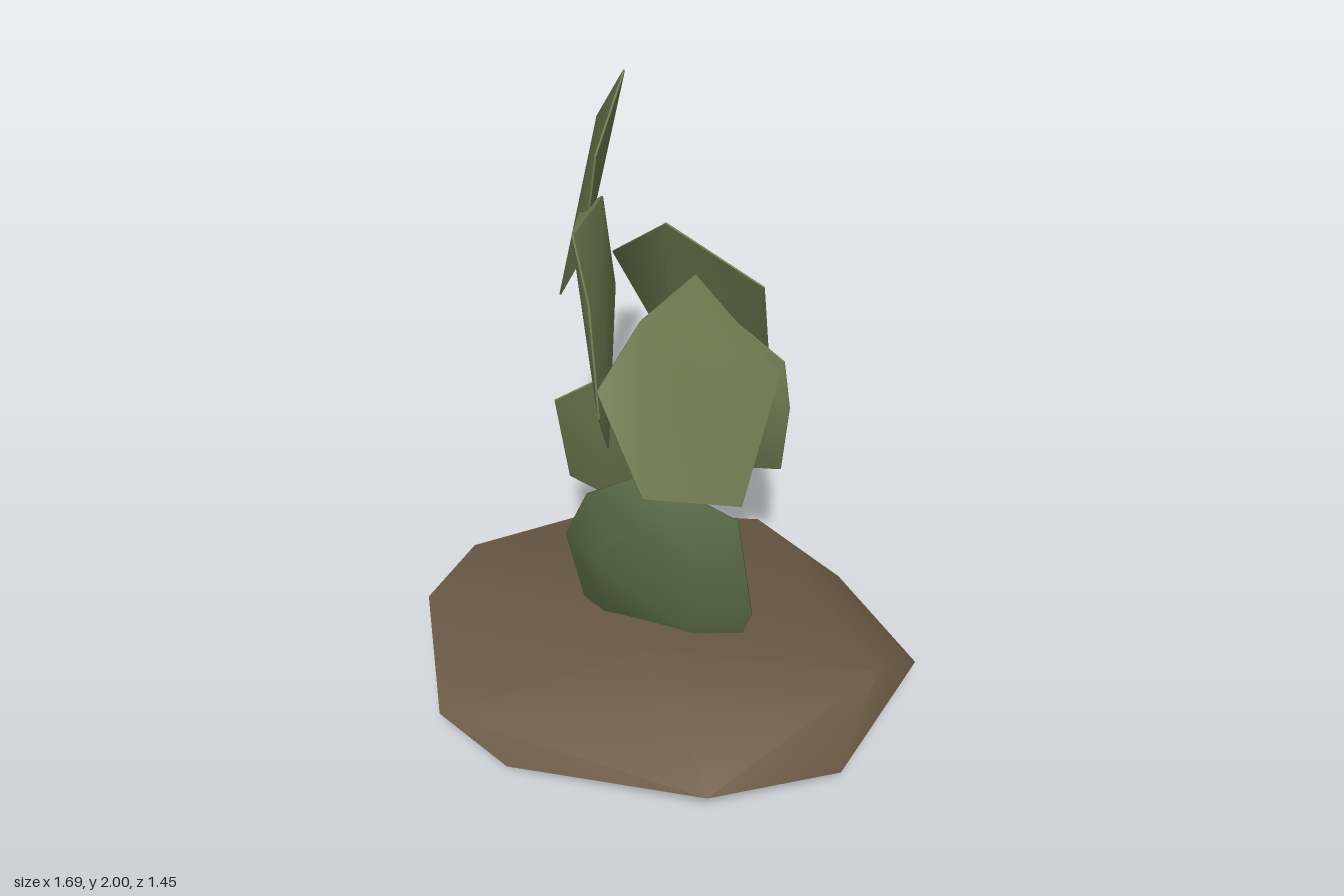
import * as THREE from 'three';
import { ConvexGeometry } from 'three/addons/geometries/ConvexGeometry.js';
import { toCreasedNormals } from 'three/addons/utils/BufferGeometryUtils.js';

const vec = (p) => new THREE.Vector3(...p);

// Lens-like pad: thin along its outline, thicker inside
function padGeometry(outline, thickness) {
  const pts = outline.map(vec);
  const centre = new THREE.Vector3();
  pts.forEach((p) => centre.addScaledVector(p, 1 / pts.length));
  const normal = new THREE.Vector3();
  pts.forEach((p, i) => {
    const a = p.clone().sub(centre);
    const b = pts[(i + 1) % pts.length].clone().sub(centre);
    normal.add(a.cross(b));
  });
  normal.normalize();
  const corners = [];
  for (const p of pts) {
    const inner = p.clone().lerp(centre, 0.45);
    for (const side of [-0.5, 0.5]) {
      corners.push(p.clone().addScaledVector(normal, side * 0.006));
      corners.push(inner.clone().addScaledVector(normal, side * thickness));
    }
  }
  return toCreasedNormals(new ConvexGeometry(corners), 0.7);
}

export function createModel() {
  const group = new THREE.Group();
  const material = (name, color) => {
    const m = new THREE.MeshStandardMaterial({ color });
    m.name = name;
    return m;
  };
  const soil = material('brown soil', 0x6a5844);
  const olive = material('olive green', 0x6f7a50);
  const deepGreen = material('deep green', 0x52633f);

  const add = (name, geometry, mat) => {
    const mesh = new THREE.Mesh(geometry, mat);
    mesh.name = name;
    group.add(mesh);
  };

  // Faceted mound of soil: crown, rim and underside
  const mound = [
    [0.08, 0.365, 0.31], [0.77, 0.27, 0], [-0.45, 0.25, -0.2],
    [0.45, 0.2, 0.7], [0.77, 0.1, 0.33], [0.84, 0.15, -0.22],
    [0.43, 0.12, -0.57], [0.08, 0.23, -0.63], [-0.52, 0.18, -0.48], [-0.84, 0.13, -0.13],
    [-0.84, 0.19, -0.1], [-0.85, 0.19, 0.22], [-0.84, 0.14, 0.2], [-0.57, 0.1, 0.64],
    [-0.27, 0.05, 0.72], [0.64, 0, 0.08], [-0.22, 0.03, -0.57],
  ];
  add('soilMound', toCreasedNormals(new ConvexGeometry(mound.map(vec)), 0.6), soil);

  // Thick pad rising out of the soil
  add('basePad', padGeometry([
    [-0.27, 0.2, 0.08], [-0.35, 0.56, 0.09], [-0.27, 0.75, 0.08], [-0.05, 0.9, 0.07],
    [0.27, 0.79, 0.05], [0.33, 0.4, 0.05], [0.26, 0.2, 0.06],
  ], 0.2), deepGreen);

  // Upper pads: outline corners and thickness
  const pads = {
    frontLeftPad: [[
      [0, 1.525, -0.2], [-0.08, 1.47, 0.04], [-0.165, 1.27, 0.19],
      [0.02, 0.95, 0.255], [0.26, 0.81, 0], [0.265, 1.16, -0.3],
    ], 0.04],
    middlePad: [[
      [-0.32, 1.71, 0.02], [-0.36, 1.69, -0.27], [-0.48, 1.575, -0.35],
      [-0.41, 1.24, -0.45], [-0.4, 1.05, -0.35], [-0.25, 0.86, -0.05],
      [-0.2, 1.1, 0.11], [-0.245, 1.5, 0.07],
    ], 0.05],
    topPad: [[
      [-0.41, 2, -0.55], [-0.6, 1.715, -0.725], [-0.62, 1.36, -0.66],
      [-0.56, 1.23, -0.33], [-0.385, 1.52, -0.18], [-0.35, 1.865, -0.21],
    ], 0.02],
    backPad: [[
      [-0.18, 1.58, -0.37], [-0.47, 1.3, -0.56], [-0.38, 0.97, -0.71],
      [-0.3, 0.88, -0.66], [0.08, 0.97, -0.67], [0.135, 1.36, -0.465],
    ], 0.05],
    lowerRightPad: [[
      [-0.42, 1.04, 0], [-0.465, 0.59, -0.17], [-0.3, 0.47, -0.245],
      [-0.11, 0.565, -0.455], [0.05, 1, -0.42], [-0.2, 1.17, -0.12],
    ], 0.07],
    lowerLeftPad: [[
      [0.31, 1.04, -0.28], [0.27, 0.74, -0.33], [-0.09, 0.57, -0.44],
      [-0.24, 0.84, -0.4], [-0.18, 1.15, -0.37], [0.05, 1.27, -0.38], [0.27, 1.19, -0.32],
    ], 0.07],
  };
  for (const [name, [outline, thickness]] of Object.entries(pads)) {
    add(name, padGeometry(outline, thickness), olive);
  }
  return group;
}
